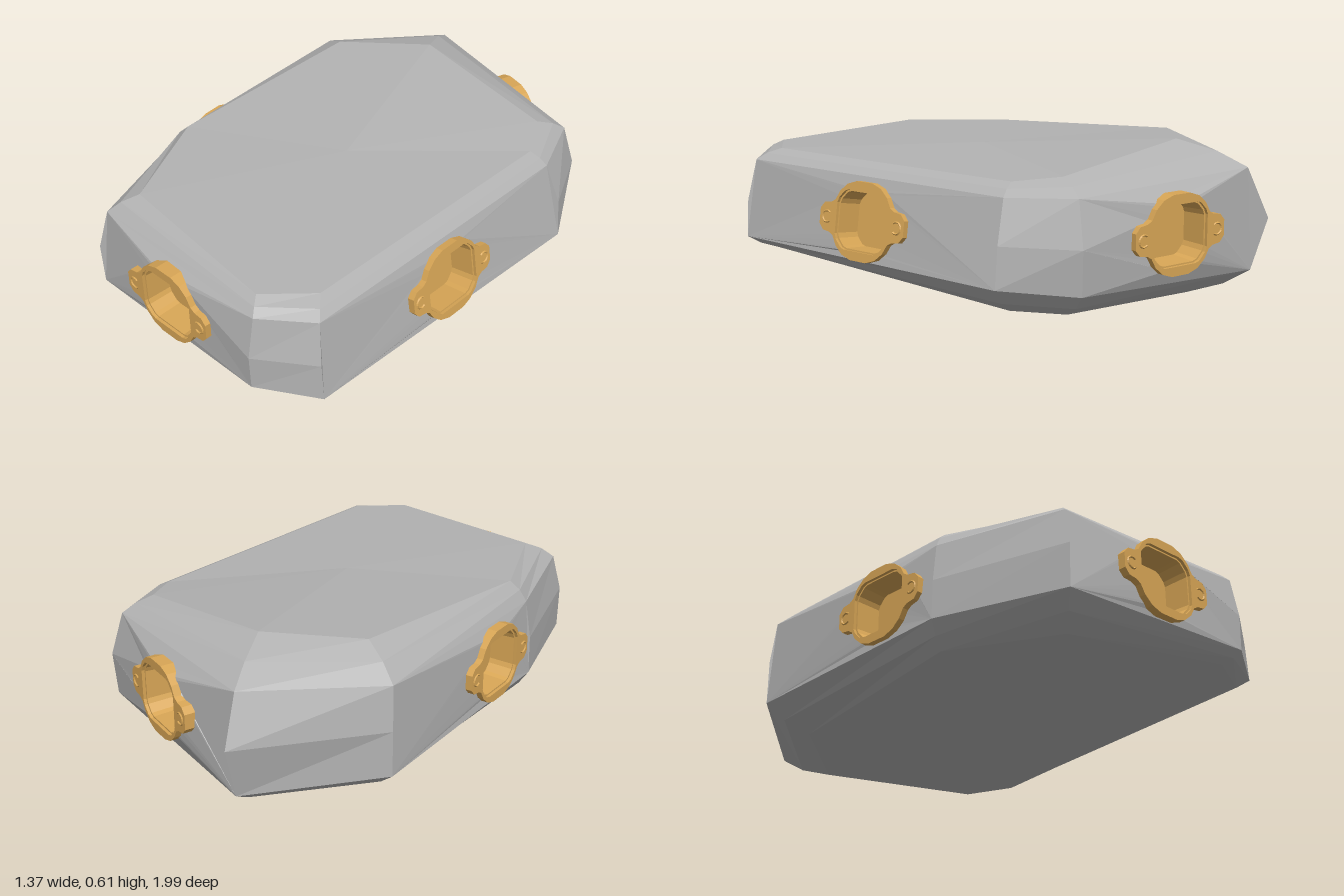
import * as THREE from 'three';

const stone = new THREE.MeshStandardMaterial({ color: 0xb2b2b2, flatShading: true });
stone.name = 'grey shell';
const gold = new THREE.MeshStandardMaterial({ color: 0xd8a656, flatShading: true });
gold.name = 'gold fitting';

const V = (x, y, z) => new THREE.Vector3(x, y, z);
const ring = (list) => list.map((p) => V(...p));

// Eight-cornered cross-sections, starting at the back and going round by the model's left
const bottom = ring([[-0.25, 0, -0.71], [0.45, 0.055, -0.63], [0.55, 0.06, -0.45], [0.55, 0.12, 0.75],
  [0.39, 0.135, 0.9], [-0.34, 0.055, 0.82], [-0.55, 0.075, 0.4], [-0.52, 0.035, -0.46]]);
const low = ring([[-0.33, 0.11, -0.94], [0.52, 0.15, -0.74], [0.675, 0.165, -0.48], [0.64, 0.17, 0.83],
  [0.42, 0.18, 0.97], [-0.44, 0.15, 0.945], [-0.625, 0.165, 0.44], [-0.69, 0.14, -0.52]]);
const mid = ring([[-0.345, 0.32, -1], [0.53, 0.32, -0.75], [0.66, 0.32, -0.48], [0.63, 0.32, 0.83],
  [0.42, 0.32, 0.975], [-0.44, 0.32, 0.95], [-0.622, 0.32, 0.44], [-0.69, 0.32, -0.52]]);
const high = ring([[-0.32, 0.51, -0.92], [0.5, 0.49, -0.71], [0.6, 0.48, -0.46], [0.6, 0.485, 0.805],
  [0.42, 0.485, 0.945], [-0.42, 0.475, 0.91], [-0.6, 0.475, 0.43], [-0.675, 0.49, -0.505]]);
const top = ring([[-0.2, 0.612, -0.675], [0.44, 0.547, -0.6], [0.53, 0.525, -0.44], [0.53, 0.53, 0.73],
  [0.375, 0.53, 0.885], [-0.34, 0.545, 0.81], [-0.54, 0.556, 0.4], [-0.515, 0.597, -0.445]]);

// Rounded step between a wall edge and a cap edge
const bevel = (wall, cap) => wall.map((w, i) => {
  const c = cap[i];
  return w.clone().lerp(c, 0.5).lerp(V(w.x, c.y, w.z), 0.15);
});

// Wall index -> fitting: face centre and outward direction
const ports = {
  0: { name: 'backPort', at: V(0.113, 0.32, -0.888), out: V(0.28, 0, -0.96) },
  2: { name: 'leftPort', at: V(0.66, 0.32, 0.17), out: V(0.99, 0.16, 0) },
  4: { name: 'frontPort', at: V(0, 0.32, 0.99), out: V(0, 0, 1) },
  6: { name: 'rightPort', at: V(-0.665, 0.32, 0.17), out: V(-0.995, 0, 0.09) },
};

// Mirror a quarter outline (from top centre to right) into a full counter-clockwise loop
function mirrored(quarter) {
  const right = [...quarter.map(([x, y]) => [x, -y]), ...quarter.slice().reverse()];
  const left = right.slice().reverse().map(([x, y]) => [-x, y]);
  return [...right, ...left].map(([x, y]) => new THREE.Vector2(x, y));
}
const flangeLine = mirrored([[0.04, 0.15], [0.085, 0.135], [0.12, 0.105], [0.14, 0.07], [0.16, 0.058],
  [0.195, 0.053], [0.215, 0.03]]);
const openingLine = mirrored([[0.075, 0.115], [0.095, 0.108], [0.122, 0.08], [0.13, 0.06]]);

function makeFace(points) {
  const g = new THREE.BufferGeometry().setFromPoints(points);
  g.computeVertexNormals();
  return g;
}

function createPort({ name, at, out }) {
  const port = new THREE.Group();
  port.name = name;
  port.position.copy(at);
  port.lookAt(at.clone().add(out));
  const add = (geometry, part) => {
    const mesh = new THREE.Mesh(geometry, gold);
    mesh.name = part;
    port.add(mesh);
    return mesh;
  };

  // Eared flange with a rounded opening
  const shape = new THREE.Shape(flangeLine);
  shape.holes.push(new THREE.Path(openingLine));
  add(new THREE.ExtrudeGeometry(shape, { depth: 0.06, bevelEnabled: false }), 'flange').position.z = -0.06;

  // Tapered cup sunk into the shell
  const steps = [[1, -0.012], [0.95, -0.012], [0.9, -0.11]];
  const tris = [];
  const n = openingLine.length;
  const pt = (k, i) => {
    const p = openingLine[i % n];
    return V(p.x * steps[k][0], p.y * steps[k][0], steps[k][1]);
  };
  for (let i = 0; i < n; i++) {
    for (let k = 0; k < 2; k++) {
      const a = pt(k, i), b = pt(k, i + 1), c = pt(k + 1, i + 1), d = pt(k + 1, i);
      tris.push(a, b, c, a, c, d);
    }
    tris.push(V(0, 0, -0.11), pt(2, i), pt(2, i + 1));
  }
  add(makeFace(tris), 'cup');

  // Small open loops on the ears
  for (const side of [-1, 1]) {
    const loop = add(new THREE.TorusGeometry(0.022, 0.004, 4, 12, 4.6), 'earLoop');
    loop.position.x = side * 0.178;
    loop.rotation.z = side > 0 ? -2.3 : Math.PI - 2.3;
  }
  return port;
}

// Wall panel with the port opening cut through it
function holedWall(i, j, port) {
  const outer = [low[j], low[i], mid[i], high[i], high[j], mid[j]].map((p) => port.worldToLocal(p.clone()));
  const hole = openingLine.map((p) => V(p.x * 1.04, p.y * 1.04, -0.025)).reverse();
  const flat = (list) => list.map((p) => new THREE.Vector2(p.x, p.y));
  const all = [...outer, ...hole];
  return THREE.ShapeUtils.triangulateShape(flat(outer), [flat(hole)])
    .flat().map((k) => port.localToWorld(all[k].clone()));
}

export function createModel() {
  const model = new THREE.Group();
  model.name = 'facetedBlock';
  const rings = [bottom, bevel(low, bottom), low, mid, high, bevel(high, top), top];
  const tris = [];
  const centre = (r) => r.reduce((s, p) => s.add(p), V(0, 0, 0)).divideScalar(r.length);
  const cb = centre(bottom), ct = centre(top);

  for (let i = 0; i < 8; i++) {
    const j = (i + 1) % 8;
    let port = null;
    if (ports[i]) {
      port = createPort(ports[i]);
      port.updateMatrixWorld(true);
      model.add(port);
      tris.push(...holedWall(i, j, port));
    }
    for (let k = 0; k < 6; k++) {
      if (port && (k === 2 || k === 3)) continue;
      const a = rings[k], b = rings[k + 1];
      tris.push(a[j], a[i], b[i], a[j], b[i], b[j]);
    }
    // Top and underside
    tris.push(ct, top[j], top[i], cb, bottom[i], bottom[j]);
  }

  const shell = new THREE.Mesh(makeFace(tris), stone);
  shell.name = 'shell';
  model.add(shell);
  return model;
}
